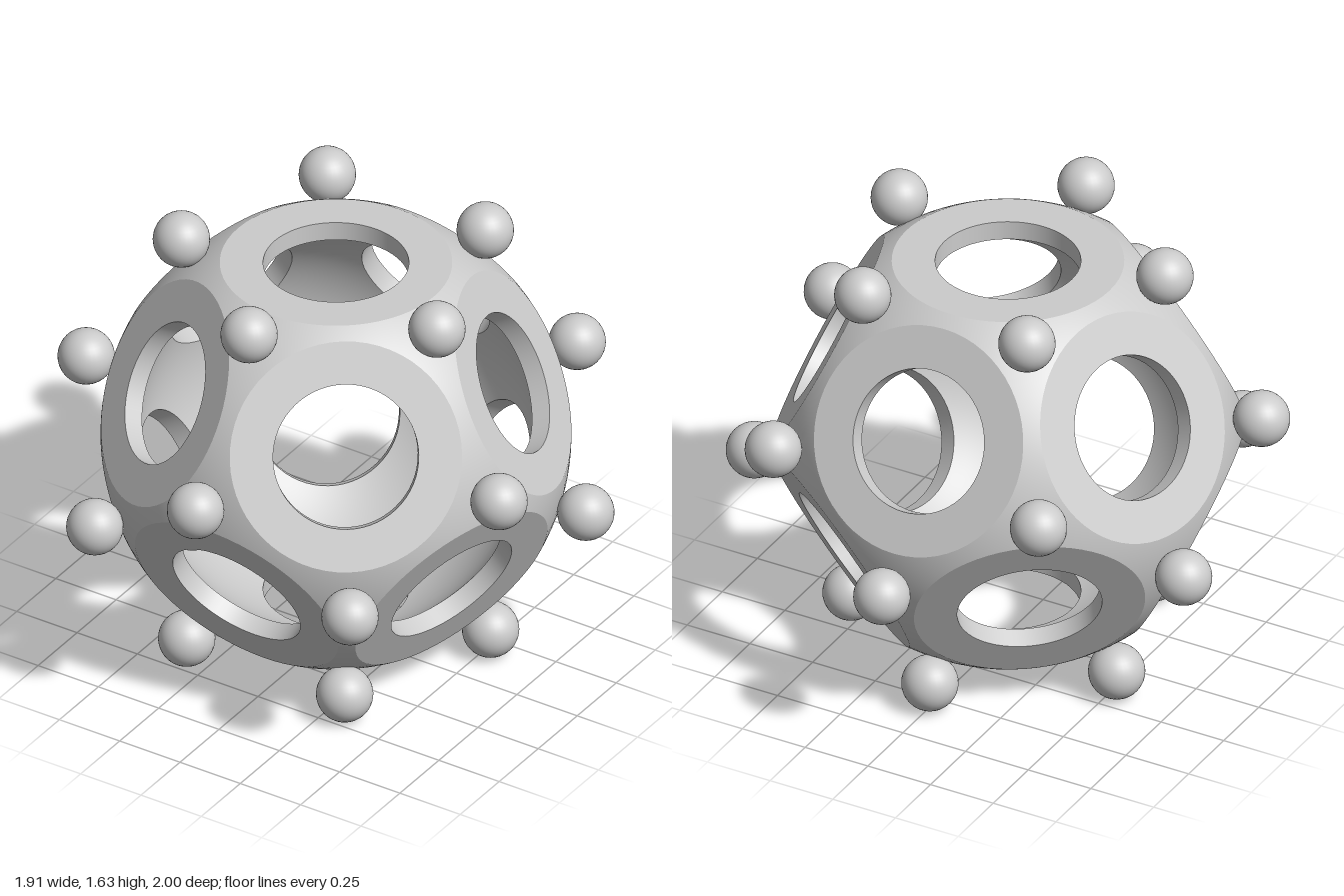
import * as THREE from 'three';

const FLAT = 0.713;    // centre to flat face
const OUTER = 0.82;    // rounded outer shell
const INNER = 0.69;    // hollow inside
const HOLE = 0.254;    // hole radius
const SEG = 60, STEPS = 6;
const DEG = Math.PI / 180;

// Angle from the panel's axis to its pentagon border, with a corner at phi = 0
const border = (phi) => {
  const a = (phi % (72 * DEG)) - 36 * DEG;
  return Math.atan(0.618034 / Math.cos(a));
};

// One of the twelve panels: rows of [radius, height, normal out, normal up] swept round y
function panelGeometry() {
  const sphereRow = (r, start, t, sign) => (phi) => {
    const a = start + (border(phi) - start) * t;
    return [r * Math.sin(a), r * Math.cos(a), sign * Math.sin(a), sign * Math.cos(a)];
  };
  const cavityAngle = Math.asin(HOLE / INNER);
  const capAngle = Math.acos(FLAT / OUTER);
  const cavity = [], dome = [];
  for (let i = 0; i <= STEPS; i++) {
    cavity.push(sphereRow(INNER, cavityAngle, 1 - i / STEPS, -1));
    dome.push(sphereRow(OUTER, capAngle, i / STEPS, 1));
  }
  const bore = [INNER * Math.cos(cavityAngle), FLAT].map((y) => () => [HOLE, y, -1, 0]);
  const flat = [HOLE, OUTER * Math.sin(capAngle)].map((r) => () => [r, FLAT, 0, 1]);

  const positions = [], normals = [], index = [];
  for (const section of [cavity, bore, flat, dome]) {
    section.forEach((row, i) => {
      const base = positions.length / 3;
      for (let j = 0; j <= SEG; j++) {
        const phi = (j % SEG) / SEG * Math.PI * 2;
        const s = Math.sin(phi), c = Math.cos(phi);
        const [r, y, nr, ny] = row(phi);
        positions.push(r * s, y, r * c);
        normals.push(nr * s, ny, nr * c);
        if (i > 0 && j < SEG) {
          const a = base - SEG - 1 + j, b = base + j;
          index.push(a, b, b + 1, a, b + 1, a + 1);
        }
      }
    });
  }
  const geometry = new THREE.BufferGeometry();
  geometry.setAttribute('position', new THREE.Float32BufferAttribute(positions, 3));
  geometry.setAttribute('normal', new THREE.Float32BufferAttribute(normals, 3));
  geometry.setIndex(index);
  return geometry;
}

export function createModel() {
  const model = new THREE.Group();
  model.name = 'hollowDodecahedron';
  const material = new THREE.MeshStandardMaterial({ color: 0xcccccc });
  const panel = panelGeometry();
  const ball = new THREE.SphereGeometry(0.1, 32, 20);

  // Upper half: top panel, five tilted panels and two rings of knobs
  const half = new THREE.Group();
  half.name = 'upperHalf';
  const add = (geometry, name) => {
    const mesh = new THREE.Mesh(geometry, material);
    mesh.name = name;
    half.add(mesh);
    return mesh;
  };
  add(panel, 'endPanel');
  for (let k = 0; k < 5; k++) {
    const turn = 72 * DEG * k;
    add(panel, 'sidePanel').rotation.set(Math.atan(2), turn + 36 * DEG, 0, 'YXZ');
    for (const [r, y] of [[0.557, 0.717], [0.9, 0.174]]) {
      add(ball, 'cornerKnob').position.set(r * Math.sin(turn), y, r * Math.cos(turn));
    }
  }

  // Lower half: the same, turned over
  const lower = half.clone();
  lower.name = 'lowerHalf';
  lower.rotation.x = Math.PI;

  const body = new THREE.Group();
  body.name = 'body';
  body.position.y = 0.817;
  body.add(half, lower);
  model.add(body);
  return model;
}
